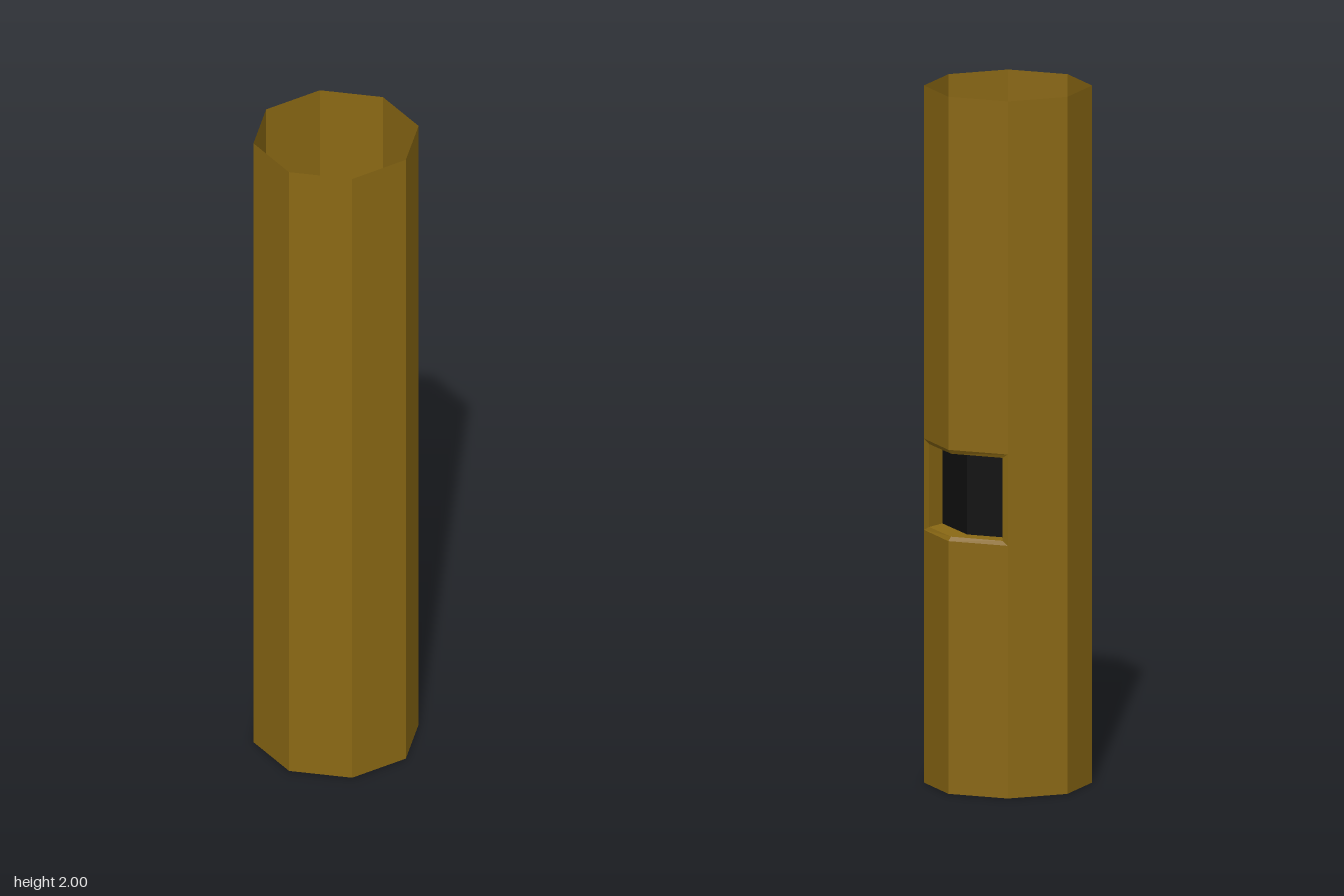
import * as THREE from 'three';

const R = 0.237, H = 2;

// Ring corner i of the octagon, counter-clockwise from the front
const corner = i => [R * Math.sin(i * Math.PI / 4), R * Math.cos(i * Math.PI / 4)];
const at = (points, y) => points.map(([x, z]) => [x, y, z]);

// Band of quads between a lower and an upper row of points
function band(name, lower, upper, material) {
  const p = [];
  for (let i = 0; i < lower.length - 1; i++) {
    const a = lower[i], b = lower[i + 1], c = upper[i + 1], d = upper[i];
    p.push(...a, ...b, ...c, ...a, ...c, ...d);
  }
  const geometry = new THREE.BufferGeometry();
  geometry.setAttribute('position', new THREE.Float32BufferAttribute(p, 3));
  geometry.computeVertexNormals();
  const mesh = new THREE.Mesh(geometry, material);
  mesh.name = name;
  return mesh;
}

export function createModel() {
  const model = new THREE.Group();
  model.name = 'octagonalColumn';
  const brown = new THREE.MeshStandardMaterial({ color: 0x8b6914, flatShading: true, side: THREE.DoubleSide });
  const black = new THREE.MeshStandardMaterial({ color: 0x111111, flatShading: true, side: THREE.DoubleSide });
  const add = (name, lower, upper, material = brown) => model.add(band(name, lower, upper, material));

  // Six full-height walls
  const wall = [4, 5, 6, 7, 8, 9, 10].map(corner);
  add('columnWall', at(wall, 0), at(wall, H));

  // Two back walls, split above and below the recess
  const outer = [2, 3, 4].map(corner);
  const inner = [[0.222, -0.02], [0.16, -0.163], [0.015, -0.225]];
  const deep = inner.map(([x, z]) => [x - 0.04, z + 0.034]);
  deep[0] = [0.185, 0.033];
  deep[1] = [0.115, -0.13];
  deep[2] = [-0.05, -0.199];
  const outerLow = at(outer, 0.725), outerHigh = at(outer, 0.987);
  const innerLow = at(inner, 0.737), innerHigh = at(inner, 0.975);
  const deepLow = at(deep, 0.737), deepHigh = at(deep, 0.975);
  add('lowerWall', at(outer, 0), outerLow);
  add('upperWall', outerHigh, at(outer, H));

  // Bevelled rim, sill and ceiling of the recess
  add('lowerBevel', outerLow, innerLow);
  add('upperBevel', innerHigh, outerHigh);
  add('recessSill', innerLow, deepLow);
  add('recessCeiling', deepHigh, innerHigh);

  // Recess sides, bevel included
  add('recessSideLeft', [outerLow[0], innerLow[0], deepLow[0]], [outerHigh[0], innerHigh[0], deepHigh[0]]);
  add('recessSideBack', [deepLow[2], innerLow[2], outerLow[2]], [deepHigh[2], innerHigh[2], outerHigh[2]]);

  // Dark panel at the back of the recess
  add('darkPanel', deepLow, deepHigh, black);

  return model;
}
